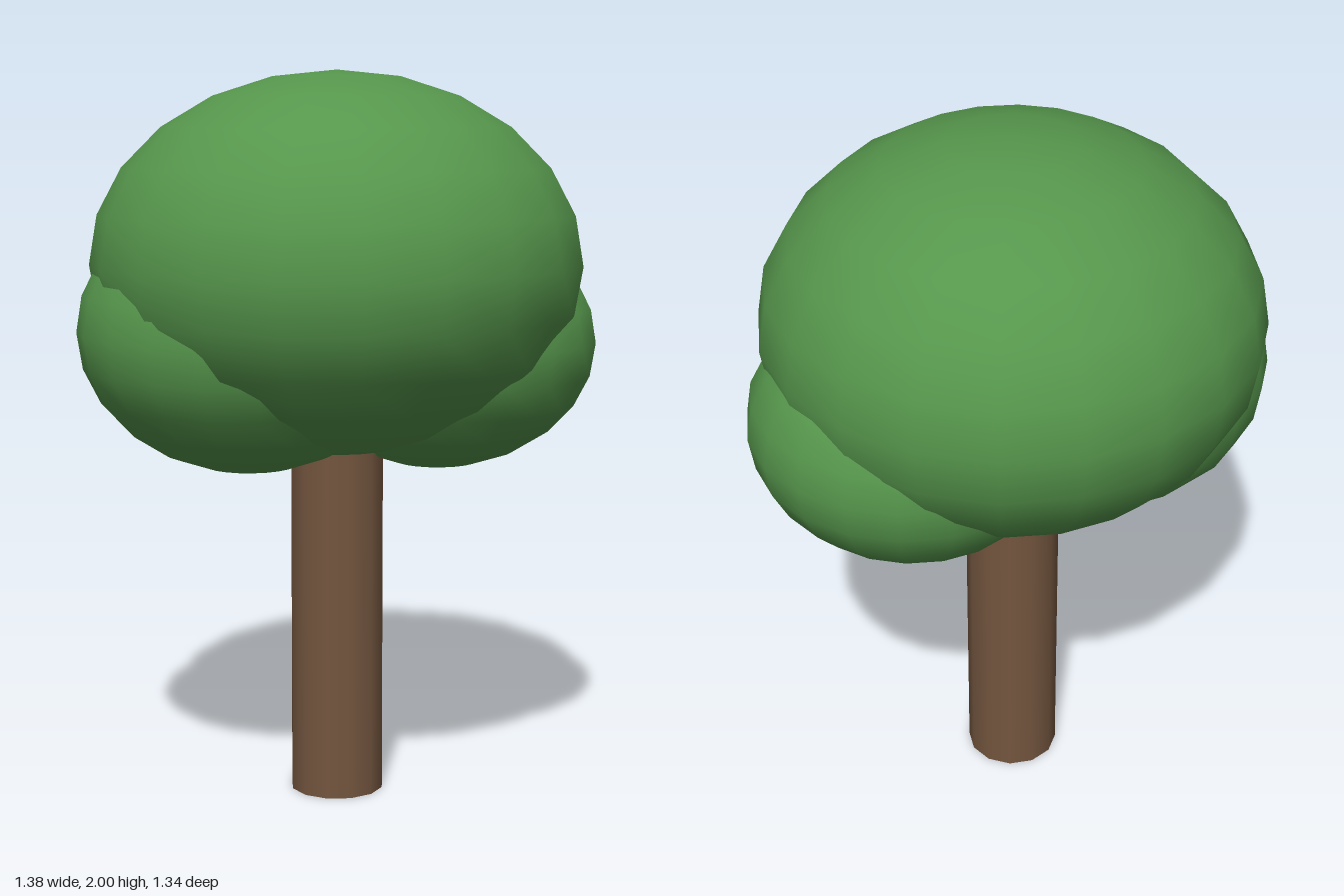
import * as THREE from 'three';

export function createModel() {
  const tree = new THREE.Group();
  tree.name = 'tree';

  const leaf = new THREE.MeshStandardMaterial({ color: 0x56964c });
  leaf.name = 'leaf green';
  const bark = new THREE.MeshStandardMaterial({ color: 0x74563f });
  bark.name = 'bark brown';

  // Straight trunk, running up into the foliage
  const trunkHeight = 1.15;
  const trunk = new THREE.Mesh(new THREE.CylinderGeometry(0.13, 0.13, trunkHeight, 12), bark);
  trunk.name = 'trunk';
  trunk.position.set(-0.005, trunkHeight / 2, 0);
  tree.add(trunk);

  // Foliage: flattened spheres, given as name, centre, radius and half height
  const clumps = [
    ['crown', [-0.005, 1.48, 0], 0.672, 0.52],
    ['rightFoliage', [-0.225, 1.3, 0.105], 0.467, 0.385],
    ['leftFoliage', [0.248, 1.26, -0.15], 0.442, 0.355],
  ];
  for (const [name, centre, radius, halfHeight] of clumps) {
    const geometry = new THREE.SphereGeometry(1, 20, 12);
    geometry.scale(radius, halfHeight, radius);
    const clump = new THREE.Mesh(geometry, leaf);
    clump.name = name;
    clump.position.set(...centre);
    tree.add(clump);
  }

  return tree;
}
